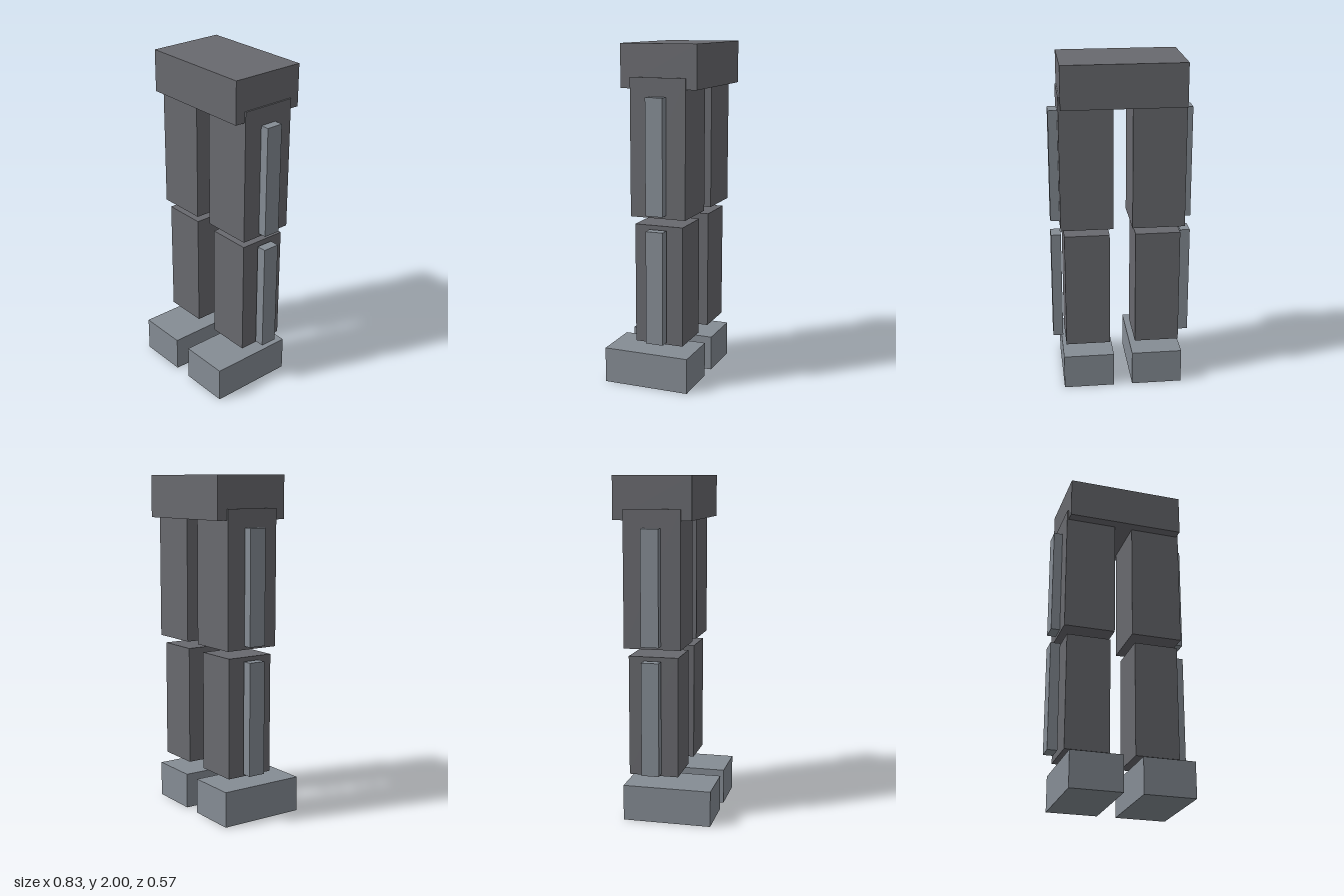
import * as THREE from 'three';

export function createModel() {
  const model = new THREE.Group();
  model.name = 'legs';

  const darkGrey = new THREE.MeshStandardMaterial({ color: 0x68696e });
  darkGrey.name = 'dark grey';
  const lightGrey = new THREE.MeshStandardMaterial({ color: 0x858c94 });
  lightGrey.name = 'light grey';

  // Box given by its lower and upper limits on each axis
  function addBox(parent, name, [x0, x1], [y0, y1], [z0, z1], material) {
    const mesh = new THREE.Mesh(new THREE.BoxGeometry(x1 - x0, y1 - y0, z1 - z0), material);
    mesh.position.set((x0 + x1) / 2, (y0 + y1) / 2, (z0 + z1) / 2);
    mesh.name = name;
    parent.add(mesh);
  }

  // Hip block joining the two legs
  addBox(model, 'hips', [-0.353, 0.353], [1.752, 2], [-0.286, 0.169], darkGrey);

  // Parts of one leg, x measured outwards from the middle
  const legParts = [
    ['Thigh', [0.055, 0.362], [1.027, 1.815], [-0.224, 0.108], darkGrey],
    ['Shin', [0.076, 0.341], [0.278, 0.98], [-0.201, 0.09], darkGrey],
    ['Foot', [0.056, 0.359], [0, 0.21], [-0.235, 0.284], lightGrey],
    ['ThighStrut', [0.356, 0.415], [1.047, 1.71], [-0.109, -0.006], lightGrey],
    ['ShinStrut', [0.356, 0.415], [0.296, 0.958], [-0.109, -0.006], lightGrey],
  ];

  for (const [side, sign] of [['left', 1], ['right', -1]]) {
    const leg = new THREE.Group();
    leg.name = side + 'Leg';
    for (const [part, [inner, outer], y, z, material] of legParts) {
      const x = sign > 0 ? [inner, outer] : [-outer, -inner];
      addBox(leg, side + part, x, y, z, material);
    }
    model.add(leg);
  }

  return model;
}
